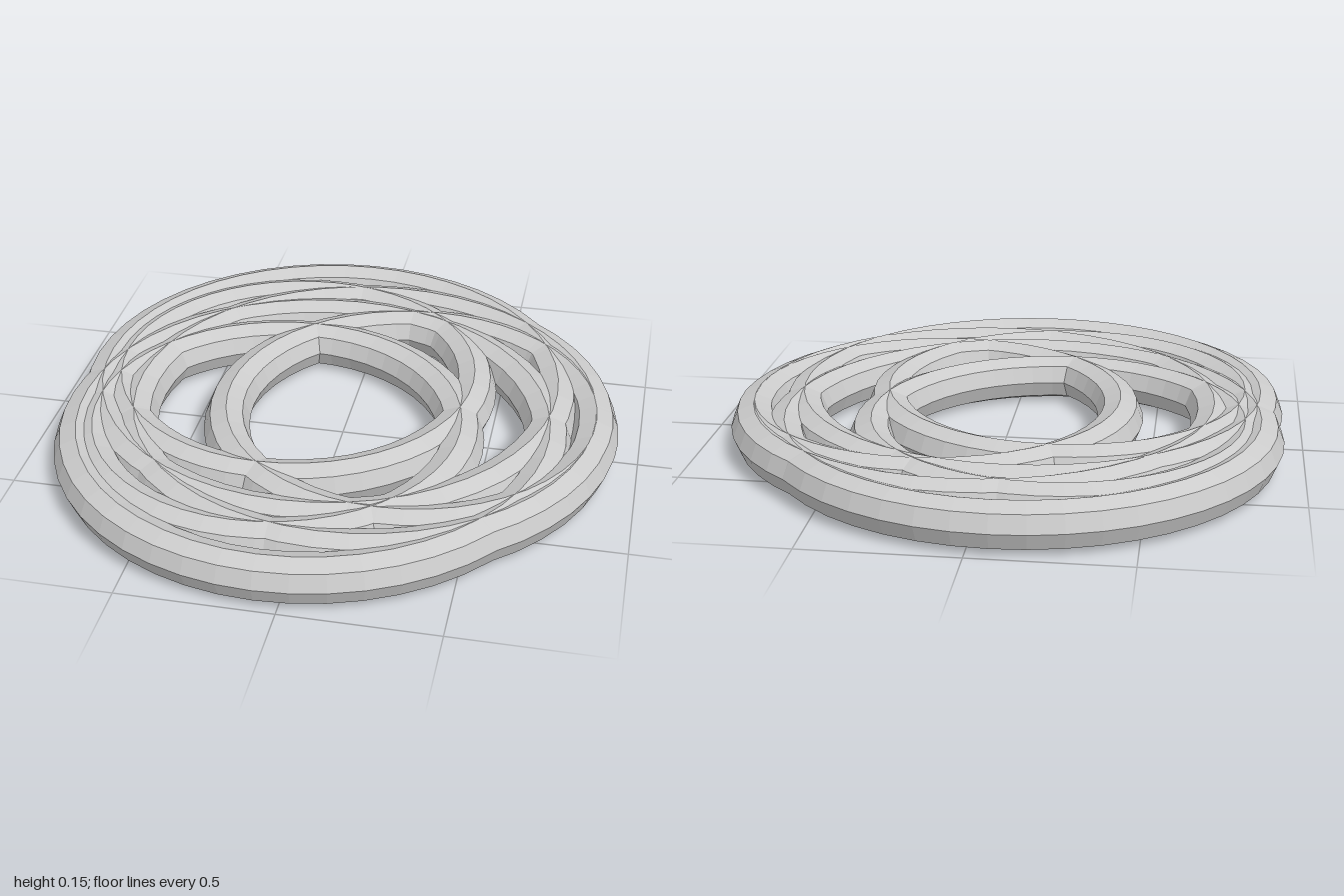
import * as THREE from 'three';

const TUBE = 0.077;

export function createModel() {
  const group = new THREE.Group();
  group.name = 'interlockedRings';
  const material = new THREE.MeshStandardMaterial({ color: 0xcccccc, flatShading: true });

  // One flat ring lying on the ground, centred at (x, z)
  function addRing(name, x, z, radius) {
    const geometry = new THREE.TorusGeometry(radius, TUBE, 8, 48);
    geometry.rotateX(-Math.PI / 2);
    const ring = new THREE.Mesh(geometry, material);
    ring.name = name;
    ring.position.set(x, TUBE, z);
    group.add(ring);
  }

  // Rings centred on the mirror line
  addRing('largeLeftRing', 0.075, 0, 0.776);
  addRing('smallLeftRing', 0.233, 0, 0.62);

  // Mirrored pairs, front and back
  for (const side of [1, -1]) {
    const end = side > 0 ? 'Front' : 'Back';
    addRing('large' + end + 'Ring', -0.072, side * 0.14, 0.783);
    addRing('small' + end + 'Ring', -0.19, side * 0.16, 0.612);
  }
  return group;
}
